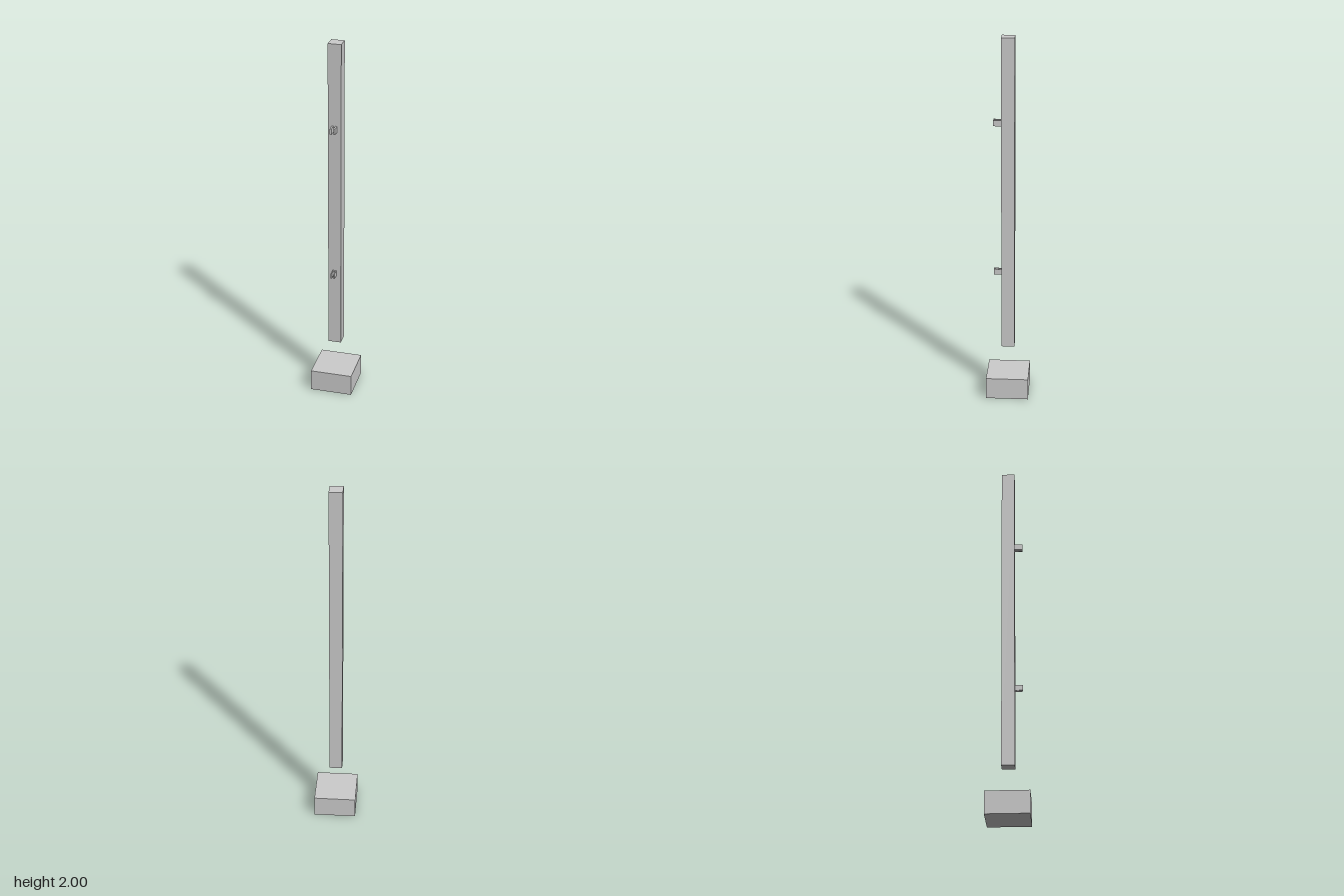
import * as THREE from 'three';

export function createModel() {
  const group = new THREE.Group();
  const material = new THREE.MeshStandardMaterial({ color: 0xcccccc, flatShading: true });

  // Box given by its size, the height of its underside, and its x and z centre
  function box(name, w, h, d, bottom, x = 0, z = 0) {
    const mesh = new THREE.Mesh(new THREE.BoxGeometry(w, h, d), material);
    mesh.name = name;
    mesh.position.set(x, bottom + h / 2, z);
    group.add(mesh);
  }

  // Footing block and the square post floating above it
  box('footing', 0.23, 0.12, 0.23, 0);
  box('post', 0.07, 1.72, 0.07, 0.28);

  // Pairs of small bracket plates on the front of the post
  const brackets = [
    { name: 'upperBracket', bottom: 1.531, height: 0.032, x: 0.0095, width: 0.009 },
    { name: 'lowerBracket', bottom: 0.698, height: 0.03, x: 0.0075, width: 0.006 },
  ];
  for (const b of brackets) {
    for (const side of [-1, 1]) {
      const name = b.name + (side > 0 ? 'Left' : 'Right');
      box(name, b.width, b.height, 0.042, b.bottom, side * b.x, 0.056);
    }
  }
  return group;
}
